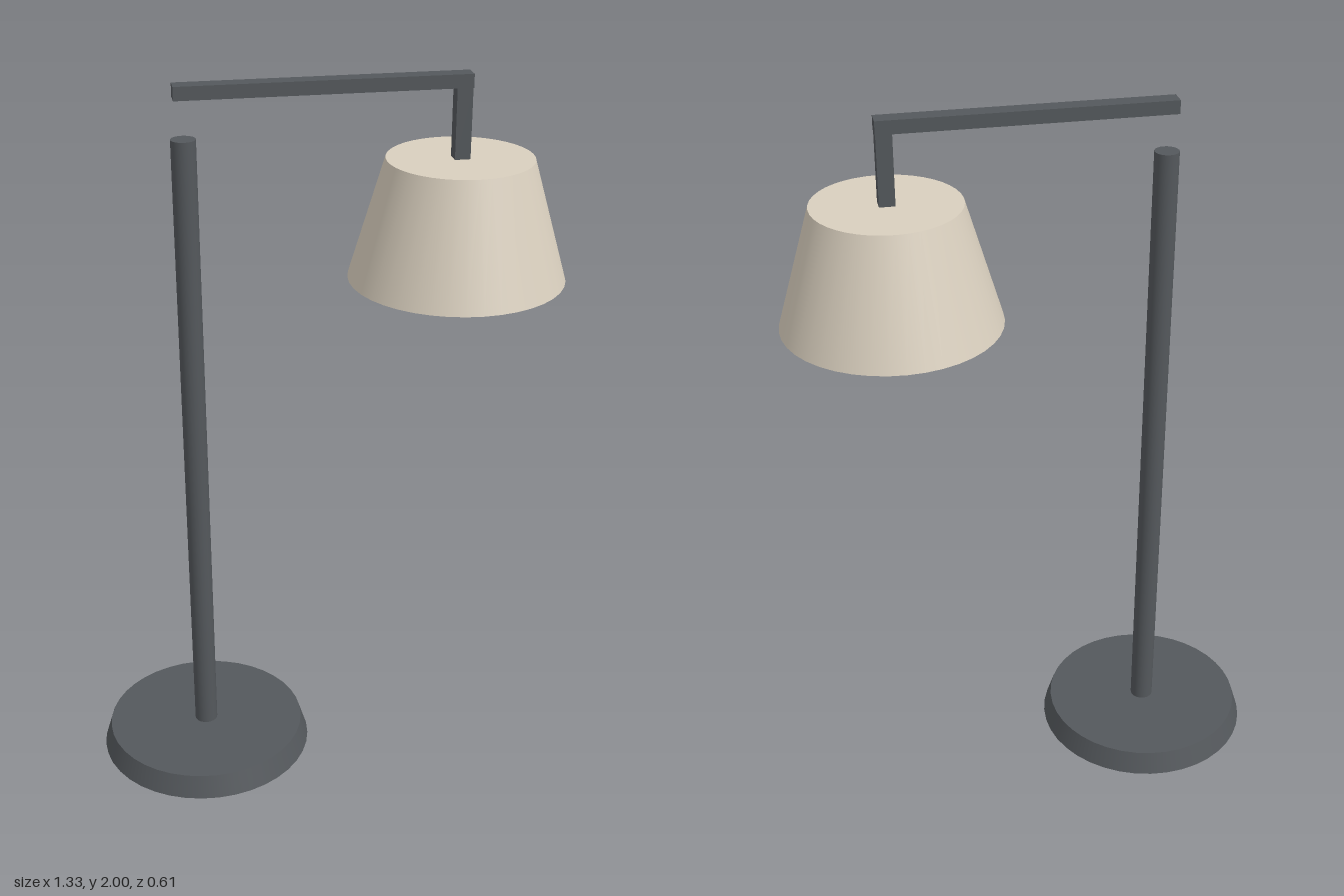
import * as THREE from 'three';

export function createModel() {
  const lamp = new THREE.Group();
  lamp.name = 'deskLamp';

  const mat = (name, color) => {
    const m = new THREE.MeshStandardMaterial({ color });
    m.name = name;
    return m;
  };
  const metal = mat('darkMetal', 0x54585c);
  const fabric = mat('shadeFabric', 0xd9cfbe);
  const glow = mat('bulbGlass', 0xe8dcb2);

  const add = (name, geometry, material, x, y) => {
    const mesh = new THREE.Mesh(geometry, material);
    mesh.name = name;
    mesh.position.set(x, y, 0);
    lamp.add(mesh);
  };
  // Upright cylinder or cone spanning bottom to top
  const round = (name, rTop, rBottom, bottom, top, material, x, sides) =>
    add(name, new THREE.CylinderGeometry(rTop, rBottom, top - bottom, sides), material, x, (top + bottom) / 2);

  const postX = -0.36, shadeX = 0.368;

  // Stand
  round('base', 0.287, 0.307, 0, 0.065, metal, postX, 40);
  round('post', 0.033, 0.033, 0.065, 1.86, metal, postX, 20);

  // Square arm and the drop that carries the shade
  add('arm', new THREE.BoxGeometry(0.773, 0.036, 0.047), metal, 0.0035, 1.982);
  add('drop', new THREE.BoxGeometry(0.042, 0.195, 0.042), metal, shadeX, 1.8675);

  // Closed tapered shade with the bulb peeking out below
  round('shade', 0.198, 0.296, 1.443, 1.775, fabric, shadeX, 40);
  add('bulb', new THREE.SphereGeometry(0.1, 28, 18), glow, shadeX, 1.478);

  return lamp;
}
